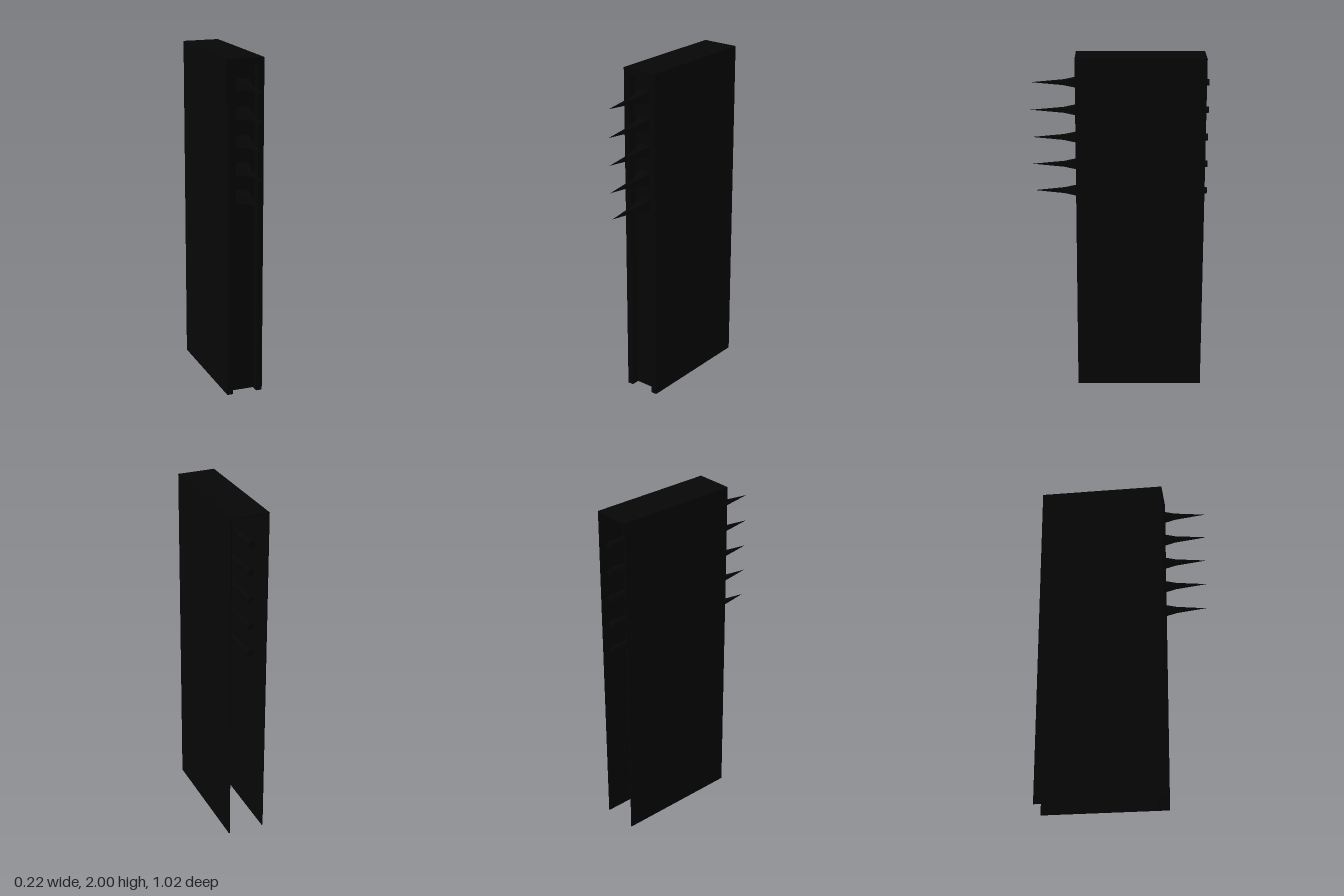
import * as THREE from 'three';

const W = 0.22, H = 2, BACK = -0.49, FRONT = 0.25;
const LIP = 0.036;      // width of the front border
const PANEL = 0.2;      // z of the recessed panel's face
const T = 0.006;        // sheet thickness

export function createModel() {
  const model = new THREE.Group();
  const material = new THREE.MeshStandardMaterial({
    color: 0x060606, flatShading: true, side: THREE.DoubleSide,
  });

  const add = (name, geometry, x, y, z) => {
    const mesh = new THREE.Mesh(geometry, material);
    mesh.name = name;
    mesh.position.set(x, y, z);
    model.add(mesh);
  };
  // Box given by its lower and upper corners
  const box = (name, a, b) => add(name,
    new THREE.BoxGeometry(b[0] - a[0], b[1] - a[1], b[2] - a[2]),
    (a[0] + b[0]) / 2, (a[1] + b[1]) / 2, (a[2] + b[2]) / 2);

  // Thin casing, open at the back and the bottom
  const w = W / 2;
  box('rightWall', [-w, 0, BACK], [-w + T, H, FRONT]);
  box('leftWall', [w - T, 0, BACK], [w, H, FRONT]);
  box('roof', [-w, H - T, BACK], [w, H, FRONT]);

  // Front border around the recessed panel
  box('rightLip', [-w, 0, PANEL], [-w + LIP, H, FRONT]);
  box('leftLip', [w - LIP, 0, PANEL], [w, H, FRONT]);
  box('topLip', [-w + LIP, H - LIP, PANEL], [w - LIP, H, FRONT]);
  box('frontPanel', [-w + T, 0, PANEL - T], [w - T, H - T, PANEL]);

  // Five square spikes, each on a rod running out of the back
  const tips = [0.495, 0.505, 0.505, 0.51, 0.505];
  tips.forEach((tip, i) => {
    const y = 1.2 + i * 0.161;
    const profile = [[0.037, PANEL], [0.026, 0.25], [0.014, 0.32], [0, tip]]
      .map(([half, z]) => new THREE.Vector2(half * Math.SQRT2, z));
    const spike = new THREE.LatheGeometry(profile, 4, Math.PI / 4);
    spike.rotateX(Math.PI / 2);
    add('spike' + (i + 1), spike, 0, y, 0);

    const length = PANEL + 0.51;
    const rod = new THREE.CylinderGeometry(0.02, 0.02, length, 12);
    rod.rotateX(Math.PI / 2);
    add('rod' + (i + 1), rod, 0, y, PANEL - length / 2);
  });

  return model;
}
